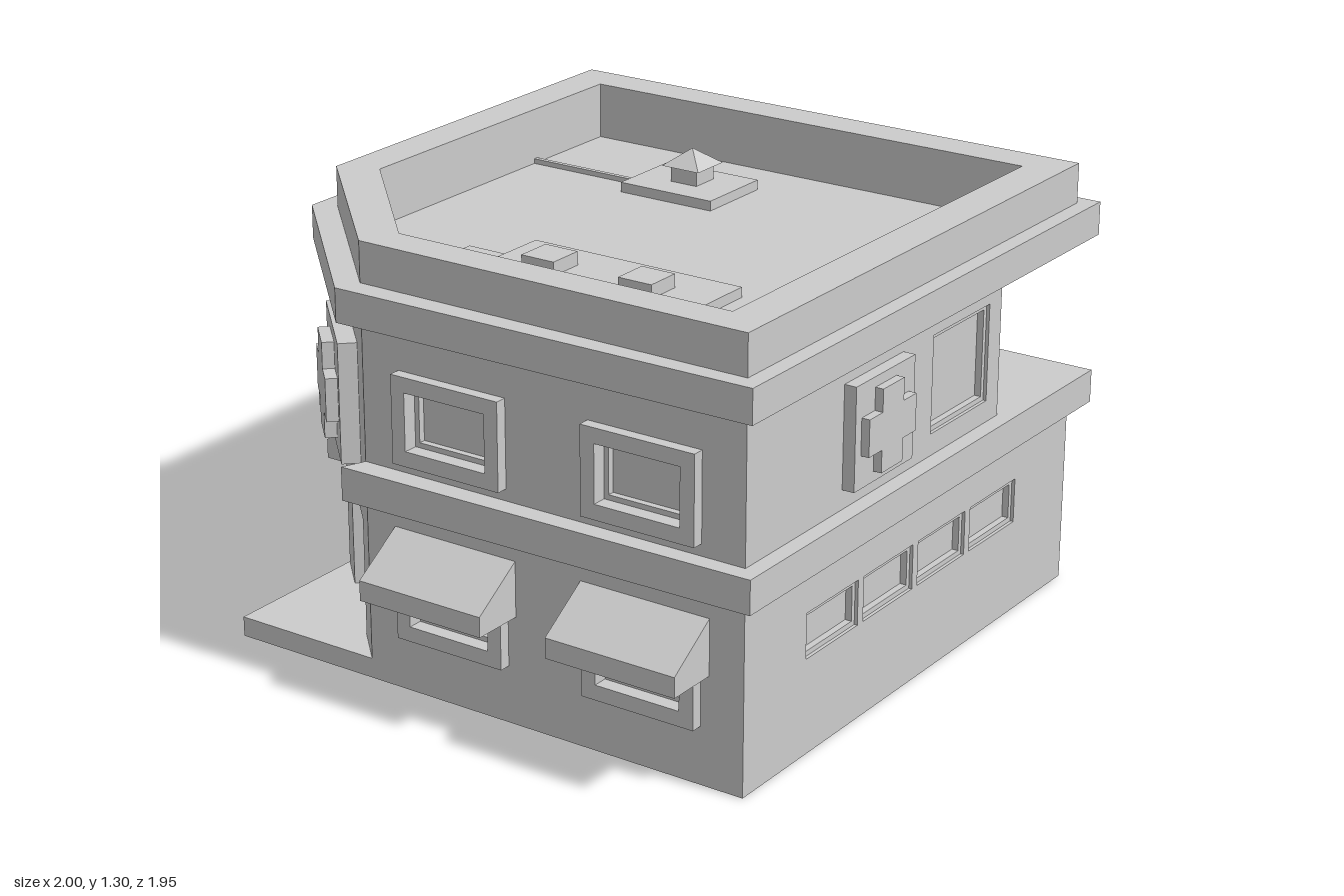
import * as THREE from 'three';

const material = new THREE.MeshStandardMaterial({ color: 0xcccccc, flatShading: true });
const thinMaterial = new THREE.MeshStandardMaterial({ color: 0xcccccc, flatShading: true, side: THREE.DoubleSide });

function add(parent, geometry, name, mat = material) {
  const mesh = new THREE.Mesh(geometry, mat);
  mesh.name = name;
  parent.add(mesh);
  return mesh;
}

// Outlines with holes run counter-clockwise
function extrude(points, holes, depth) {
  const toPoints = (list) => list.map(([x, y]) => new THREE.Vector2(x, y));
  const shape = new THREE.Shape(toPoints(points));
  for (const hole of holes) shape.holes.push(new THREE.Path(toPoints(hole)));
  return new THREE.ExtrudeGeometry(shape, { depth, bevelEnabled: false });
}

// Horizontal slab from [x, z] outlines between two heights
function slab(parent, name, outline, y0, y1, holes = []) {
  const flip = (list) => list.map(([x, z]) => [x, -z]);
  const geometry = extrude(flip(outline), holes.map(flip), y1 - y0);
  geometry.rotateX(-Math.PI / 2).translate(0, y0, 0);
  return add(parent, geometry, name);
}

function box(parent, name, [x0, x1], [y0, y1], [z0, z1]) {
  const geometry = new THREE.BoxGeometry(x1 - x0, y1 - y0, z1 - z0);
  geometry.translate((x0 + x1) / 2, (y0 + y1) / 2, (z0 + z1) / 2);
  return add(parent, geometry, name);
}

// Rectangles on a wall are [u0, v0, u1, v1]
const corners = ([a, b, c, d]) => [[a, b], [c, b], [c, d], [a, d]];
const inset = ([a, b, c, d], t) => [a + t, b + t, c - t, d - t];

function plate(parent, name, rect, z0, z1, holes = []) {
  const geometry = extrude(corners(rect), holes.map(corners), z1 - z0);
  geometry.translate(0, 0, z0);
  return add(parent, geometry, name);
}

// Wall from a to b; local x runs along it, local z points outwards
function wall(parent, name, a, b, y0, y1, holes = []) {
  const group = new THREE.Group();
  group.name = name;
  const dx = b[0] - a[0], dz = b[1] - a[1];
  group.position.set(a[0], 0, a[1]);
  group.rotation.y = Math.atan2(-dz, dx);
  plate(group, name + 'Panel', [0, y0, Math.hypot(dx, dz), y1], -0.1, 0, holes);
  parent.add(group);
  return group;
}

// Set-back sash and pane in an opening
function addWindow(parent, opening) {
  plate(parent, 'windowSash', opening, -0.06, -0.01, [inset(opening, 0.015)]);
  plate(parent, 'windowPane', opening, -0.07, -0.03);
}

function addCrossSign(parent, u, v, size, panelDepth, depth) {
  const h = size / 2, r = size * 0.4, a = size * 0.18;
  plate(parent, 'signPanel', [u - h, v - h, u + h, v + h], 0, panelDepth);
  const outline = [[-a, -r], [a, -r], [a, -a], [r, -a], [r, a], [a, a],
    [a, r], [-a, r], [-a, a], [-r, a], [-r, -a], [-a, -a]];
  const geometry = extrude(outline.map(([x, y]) => [u + x, v + y]), [], depth - panelDepth);
  geometry.translate(0, 0, panelDepth);
  add(parent, geometry, 'signCross');
}

// Awning: open shell with sloping top, front lip and side cheeks
function addAwning(parent, u, width) {
  const profile = [[0, 0.325], [0, 0.49], [0.16, 0.385], [0.16, 0.325]];
  const positions = [];
  const quad = (p, q, r, s) => positions.push(...p, ...q, ...r, ...p, ...r, ...s);
  const at = (side, i) => [u + side * width / 2, profile[i][1], profile[i][0]];
  for (const i of [1, 2]) quad(at(-1, i + 1), at(1, i + 1), at(1, i), at(-1, i));
  quad(at(1, 0), at(1, 1), at(1, 2), at(1, 3));
  quad(at(-1, 3), at(-1, 2), at(-1, 1), at(-1, 0));
  const geometry = new THREE.BufferGeometry();
  geometry.setAttribute('position', new THREE.Float32BufferAttribute(positions, 3));
  geometry.computeVertexNormals();
  add(parent, geometry, 'awning', thinMaterial);
}

// Door with glazed panels at the back of a recess
function addDoor(parent, rect, panels, depth) {
  plate(parent, 'doorLeaf', rect, -depth - 0.015, -depth, panels);
  plate(parent, 'doorPanels', rect, -depth - 0.04, -depth - 0.015);
}

export function createModel() {
  const model = new THREE.Group();
  model.name = 'cornerClinic';
  const L = -0.84, R = 0.89, B = -0.82, F = 0.91, base = 0.06, mid = 0.61, top = 1.1;
  const cutBack = [-0.36, B], cutLeft = [L, -0.34];

  // Foundation: floor with a thin skirt, open underneath
  const plot = (t) => [[L + t, F - t], [R - t, F - t], [R - t, B + t], [L + t, B + t]];
  slab(model, 'foundationSkirt', plot(0), 0, base, [plot(0.004)]);
  slab(model, 'foundationFloor', plot(0.002), base - 0.004, base);

  // Front walls, with the upper storey cut back at one corner
  const lowWindows = [-0.54, -0.251, 0.037, 0.326].map((x) => [x - L, 0.285, x - L + 0.26, 0.42]);
  const frontLow = wall(model, 'frontLowerWall', [L, F], [R, F], base, mid, lowWindows);
  lowWindows.forEach((w) => addWindow(frontLow, w));
  const frontWin = [0.925, 0.725, 1.233, 1.015];
  const frontUp = wall(model, 'frontUpperWall', [L, F], [0.46, F], mid, top, [frontWin]);
  addWindow(frontUp, frontWin);
  addCrossSign(frontUp, 0.614, 0.867, 0.3, 0.037, 0.062);

  const bayWin = [0.065, 0.725, 0.545, 1.015];
  const bay = wall(model, 'cornerWindowWall', [0.46, F], [R, 0.48], mid, top, [bayWin]);
  addWindow(bay, bayWin);

  // Right walls: service door, meter, pipe and air conditioner
  const sideDoor = [0.53, 0.08, 0.755, 0.37];
  const rightLow = wall(model, 'rightLowerWall', [R, F], [R, B], base, mid, [sideDoor]);
  addDoor(rightLow, sideDoor, [[0.567, 0.115, 0.717, 0.205], [0.567, 0.275, 0.717, 0.365]], 0.05);
  plate(rightLow, 'meterBox', [0.375, 0.16, 0.45, 0.295], 0, 0.03);
  plate(rightLow, 'pipe', [0.405, 0.295, 0.42, 0.515], 0, 0.015);
  plate(rightLow, 'pipe', [0.42, 0.5, 0.68, 0.515], 0, 0.015);
  plate(rightLow, 'pipe', [0.665, 0.515, 0.68, 0.57], 0, 0.015);
  const rightWin = [0.064, 0.725, 0.372, 1.015];
  const rightUp = wall(model, 'rightUpperWall', [R, 0.48], [R, B], mid, top, [rightWin]);
  addWindow(rightUp, rightWin);
  plate(rightUp, 'airConditioner', [0.61, 0.77, 0.98, 0.97], 0, 0.11);

  // Back and left walls: framed windows, with awnings over the lower ones
  for (const [name, a, b, centers] of [
    ['backWall', [R, B], cutBack, [0.315, 0.942]],
    ['leftWall', cutLeft, [L, F], [0.305, 0.935]],
  ]) {
    const frames = centers.flatMap((u) => [[u - 0.18, 0.172, u + 0.18, 0.432], [u - 0.18, 0.695, u + 0.18, 0.955]]);
    const openings = frames.map((f) => inset(f, 0.045));
    const side = wall(model, name, a, b, base, top, openings);
    frames.forEach((f, i) => plate(side, 'windowFrame', f, 0, 0.035, [openings[i]]));
    openings.forEach((w) => addWindow(side, w));
    centers.forEach((u) => addAwning(side, u, 0.413));
  }

  // Entrance on the cut corner
  const doorway = [0.16, base, 0.52, 0.42];
  const entrance = wall(model, 'entranceWall', cutBack, cutLeft, base, top, [doorway]);
  const panes = [0.18, 0.35].flatMap((u) => [0.09, 0.25].map((v) => [u, v, u + 0.15, v + 0.13]));
  addDoor(entrance, doorway, panes, 0.05);
  addCrossSign(entrance, 0.34, 0.77, 0.36, 0.055, 0.09);

  // Ledge between storeys, interrupted at the entrance
  const rim = [[-0.91, -0.37], [-0.893, 0.96], [0.938, 0.96], [0.938, -0.87], [-0.395, -0.887]];
  slab(model, 'storeyLedge', [cutLeft, ...rim, cutBack, [-0.32, -0.78], [-0.8, -0.3]], 0.56, 0.66);

  // Cornice, parapet and sunken roof deck
  const inner = [[-0.73, -0.29], [-0.73, 0.79], [0.77, 0.79], [0.77, -0.7], [-0.31, -0.7]];
  slab(model, 'cornice', rim, 1.08, 1.18, [inner]);
  slab(model, 'parapet', [cutLeft, [L, F], [R, F], [R, B], cutBack], 1.18, 1.3, [inner]);
  slab(model, 'roofDeck', inner, 1.08, 1.13);

  // Roof equipment
  box(model, 'ventBase', [-0.555, -0.23], [1.13, 1.16], [-0.205, 0.49]);
  box(model, 'ventDuct', [-0.465, -0.353], [1.13, 1.15], [-0.345, -0.205]);
  for (const z of [-0.09, 0.235]) box(model, 'ventBox', [-0.45, -0.338], [1.16, 1.2], [z, z + 0.11]);
  box(model, 'chimneyBase', [0.345, 0.597], [1.13, 1.16], [-0.32, 0]);
  box(model, 'chimneyStack', [0.438, 0.528], [1.16, 1.21], [-0.203, -0.113]);
  box(model, 'roofPipe', [0.425, 0.44], [1.13, 1.145], [-0.7, -0.32]);
  const cap = new THREE.ConeGeometry(0.065 * Math.SQRT2, 0.05, 4).rotateY(Math.PI / 4);
  add(model, cap, 'chimneyCap').position.set(0.483, 1.235, -0.158);

  return model;
}
